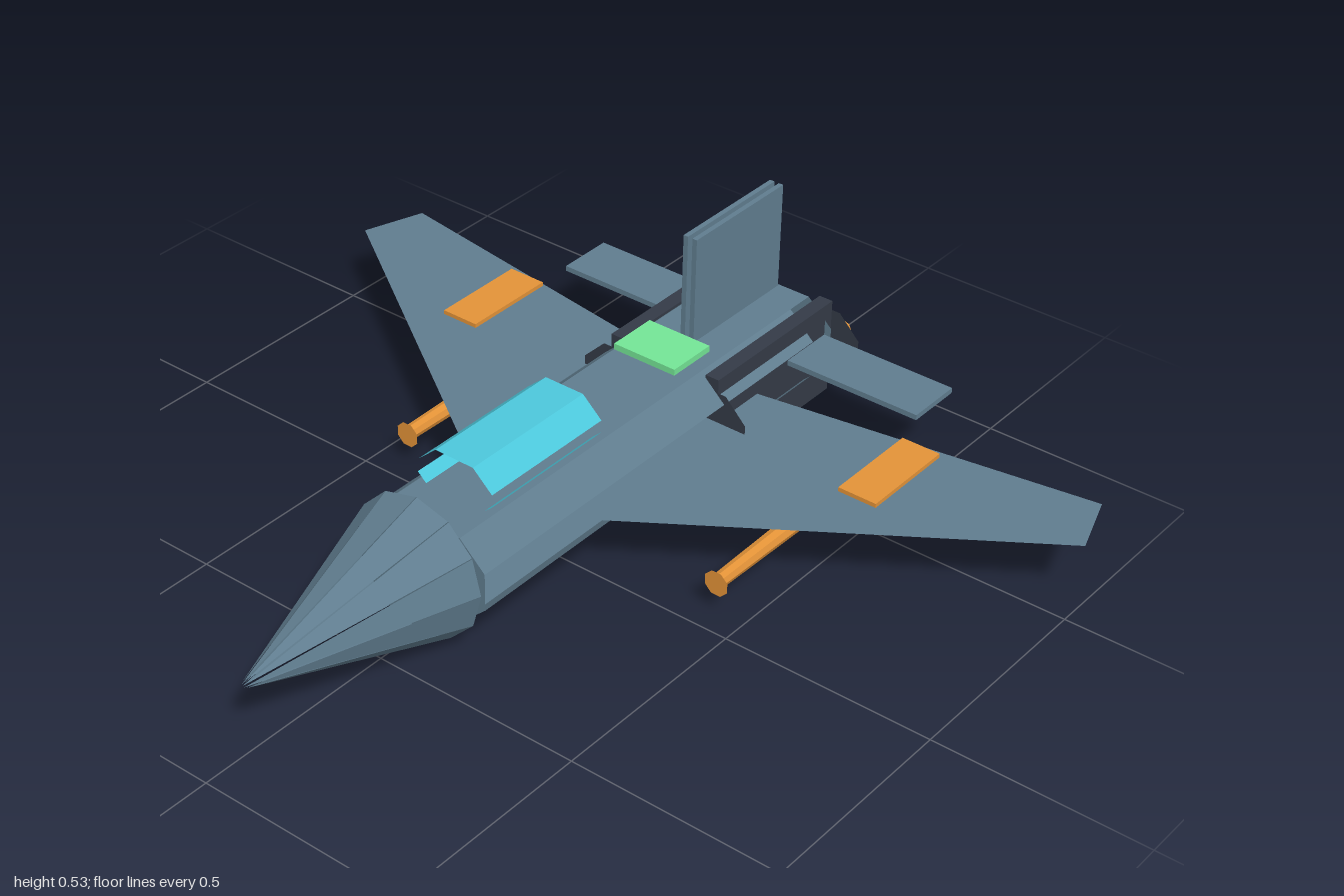
import * as THREE from 'three';

const mat = (color) => new THREE.MeshStandardMaterial({ color, flatShading: true, side: THREE.DoubleSide });
const body = mat(0x607d8f), dark = mat(0x343b47), glass = mat(0x4dc8dc), orange = mat(0xe39338), green = mat(0x74e596);

export function createModel() {
  const model = new THREE.Group();

  const add = (name, geometry, material, x = 0, y = 0, z = 0) => {
    const mesh = new THREE.Mesh(geometry, material);
    mesh.name = name;
    mesh.position.set(x, y, z);
    model.add(mesh);
    return mesh;
  };
  const box = (name, material, [x0, x1], [y0, y1], [z0, z1]) =>
    add(name, new THREE.BoxGeometry(x1 - x0, y1 - y0, z1 - z0), material, (x0 + x1) / 2, (y0 + y1) / 2, (z0 + z1) / 2);
  // Flat sheet from a fan of corners
  const sheet = (name, material, corners) => {
    const points = [];
    for (let i = 1; i < corners.length - 1; i++) points.push(...corners[0], ...corners[i], ...corners[i + 1]);
    const geometry = new THREE.BufferGeometry();
    geometry.setAttribute('position', new THREE.Float32BufferAttribute(points, 3));
    geometry.computeVertexNormals();
    return add(name, geometry, material);
  };
  // Lengthwise panel between two points of a cross-section
  const strip = (name, material, [xa, ya], [xb, yb], z0, z1) =>
    sheet(name, material, [[xa, ya, z0], [xb, yb, z0], [xb, yb, z1], [xa, ya, z1]]);
  const disc = (name, material, r, sides, x, y, z) =>
    add(name, new THREE.CircleGeometry(r, sides, Math.PI / sides), material, x, y, z);
  const rod = (name, material, rBack, rFront, length, sides, x, y, z) => {
    const geometry = new THREE.CylinderGeometry(rFront, rBack, length, sides);
    geometry.rotateX(Math.PI / 2);
    return add(name, geometry, material, x, y, z);
  };
  // Octagonal shell with open sides
  const shell = (name, material, y, wIn, wOut, hIn, hOut, z0, z1, zSide) => {
    for (const v of [1, -1]) {
      strip(name + 'Flat', material, [-wIn, y + v * hOut], [wIn, y + v * hOut], z0, z1);
      for (const s of [1, -1])
        strip(name + 'Slope', material, [s * wIn, y + v * hOut], [s * wOut, y + v * hIn], z0, zSide);
    }
  };

  // Fuselage and canopy
  shell('fuselage', body, 0.165, 0.1, 0.165, 0.045, 0.105, 0.365, -0.83, -0.76);
  shell('canopy', glass, 0.305, 0.05, 0.1, 0.015, 0.06, 0.265, -0.085, -0.085);
  const section = [[0.1, 0.27], [0.165, 0.21], [0.165, 0.12], [0.1, 0.06], [-0.1, 0.06], [-0.165, 0.12], [-0.165, 0.21], [-0.1, 0.27]];
  for (const [name, z] of [['frontBulkhead', 0.365], ['rearBulkhead', -0.83]])
    sheet(name, body, section.map(([x, y]) => [x, y, z]));

  // Nose cone of separate panels with narrow gaps
  const sides = 12, r = 0.168;
  for (let i = 0; i < sides; i++) {
    const ring = (t, rad, z) => {
      const a = ((i + t) / sides) * Math.PI * 2;
      return [rad * Math.cos(a), 0.165 + rad * Math.sin(a), z];
    };
    sheet('nosePanel', body, [ring(0.01, r, 0.38), ring(0.99, r, 0.38), ring(0.5, 0.008, 0.88)]);
  }
  add('noseBase', new THREE.CircleGeometry(r, sides), body, 0, 0.165, 0.38);

  // Twin fins and the dorsal panel
  for (const s of [1, -1]) {
    const x = s * 0.012;
    box('tailFin', body, [x - 0.006, x + 0.006], [0.26, 0.53], [-0.825, -0.51]);
  }
  box('dorsalPanel', green, [-0.085, 0.08], [0.285, 0.3], [-0.485, -0.36]);

  for (const s of [1, -1]) {
    // Wing, wing panel and tailplane
    sheet('wing', body, [[0.1, 0.07], [1, -0.55], [0.95, -0.7], [0.1, -0.57]].map(([x, z]) => [s * x, 0.157, z]));
    add('wingPanel', new THREE.BoxGeometry(0.095, 0.01, 0.24), orange, s * 0.55, 0.167, -0.5);
    add('tailplane', new THREE.BoxGeometry(0.39, 0.013, 0.14), body, s * 0.295, 0.182, -0.76);

    // Engine core with end plates and nozzle
    add('engineCore', new THREE.BoxGeometry(0.035, 0.235, 0.425), dark, s * 0.13, 0.148, -0.6425);
    disc('intakePlate', dark, 0.1, 8, s * 0.13, 0.14, -0.43);
    disc('exhaustPlate', dark, 0.1, 8, s * 0.13, 0.148, -0.857);
    rod('nozzle', orange, 0.068, 0.05, 0.022, 8, s * 0.13, 0.153, -0.873);

    // Slung pod with end plates
    rod('pod', orange, 0.023, 0.017, 0.42, 8, s * 0.427, 0.07, -0.27);
    for (const z of [-0.06, -0.48]) disc('podPlate', orange, 0.031, 8, s * 0.427, 0.068, z);
  }

  return model;
}
